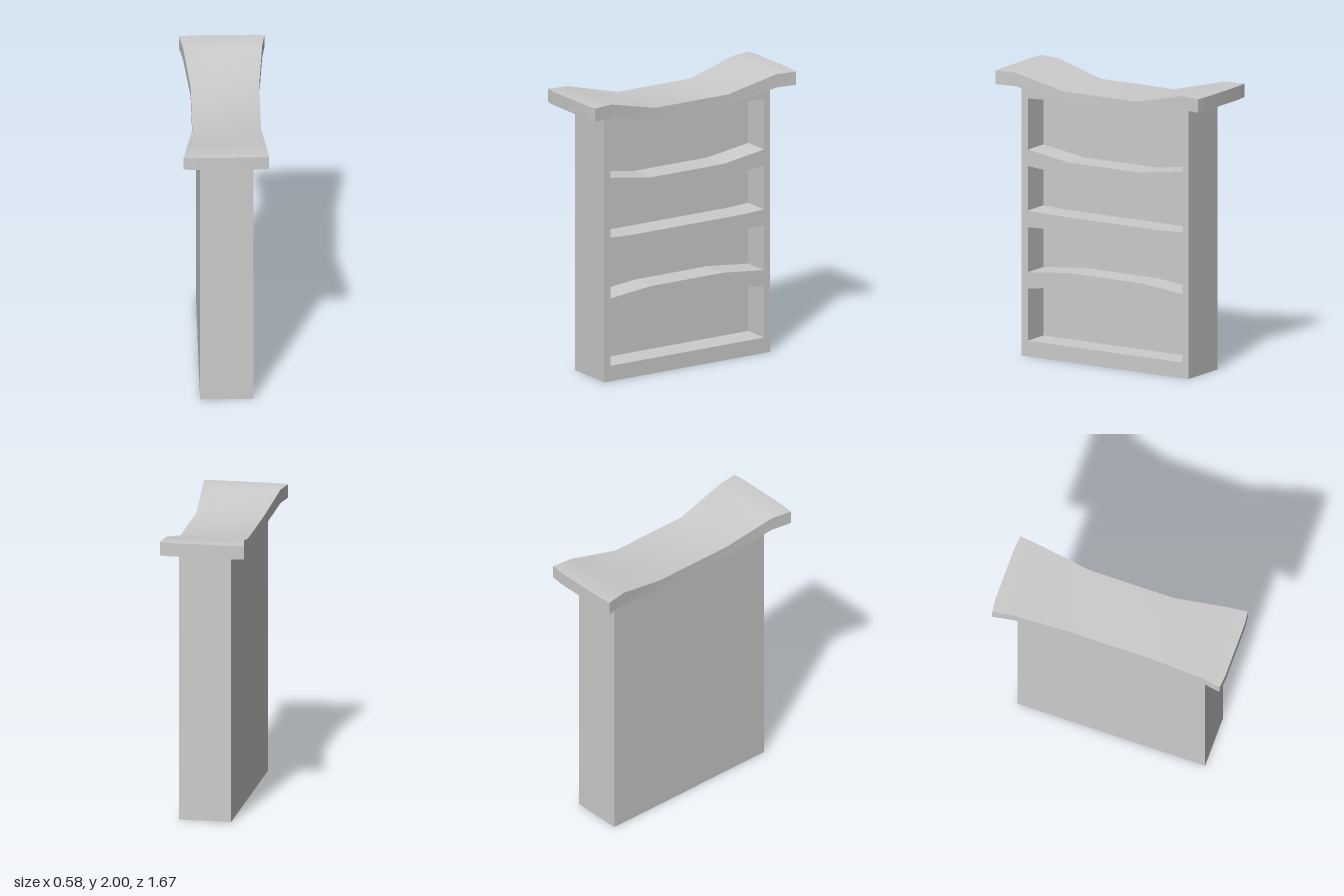
import * as THREE from 'three';

const BACK = -0.18, INNER = -0.01, FRONT = 0.185; // x planes of the cabinet

// Polygon symmetric about the centre, from the right halves of its lower and upper edges
function mirrored(PathType, lower, upper) {
  const half = [...lower, ...upper.slice().reverse()];
  const other = half.slice().reverse().map(([u, y]) => [-u, y]);
  return new PathType([...half, ...other].map(([u, y]) => new THREE.Vector2(u, y)));
}

// Extrudes a side profile across x between two planes
function acrossX(shape, x0, x1) {
  const geo = new THREE.ExtrudeGeometry(shape, { depth: x1 - x0, bevelEnabled: false });
  geo.rotateY(Math.PI / 2);
  geo.translate(x0, 0, 0);
  return geo;
}

const bodyProfile = () => mirrored(THREE.Shape, [[0.68, 0]], [[0.3, 1.83], [0.68, 1.905]]);

// Each opening: lower edge and upper edge, from the middle outwards
const openings = [
  { lower: [[0.63, 0.11]], upper: [[0.3, 0.525], [0.63, 0.475]] },
  { lower: [[0.3, 0.625], [0.63, 0.59]], upper: [[0.45, 0.912], [0.63, 0.905]] },
  { lower: [[0.45, 1.015], [0.63, 1.023]], upper: [[0.3, 1.305], [0.63, 1.335]] },
  { lower: [[0.3, 1.4], [0.63, 1.45]], upper: [[0.3, 1.824], [0.63, 1.81]] },
];

// Dipped, waisted top slab: a box reshaped station by station
function topGeometry() {
  const geo = new THREE.BoxGeometry(3, 1, 5, 3, 1, 5);
  const stations = [ // z, underside, top, width to -x, width to +x
    [0.3, 1.83, 1.91, 0.225, 0.245],
    [0.675, 1.905, 2, 0.27, 0.272],
    [0.835, 1.905, 2, 0.295, 0.29],
  ];
  const p = geo.attributes.position;
  for (let i = 0; i < p.count; i++) {
    const x = p.getX(i), y = p.getY(i), z = p.getZ(i);
    const k = Math.round(Math.abs(z) - 0.5);
    const [zs, low, high, wNeg, wPos] = stations[k];
    const edge = Math.abs(x) > 1;
    const w = (x < 0 ? wNeg : wPos) * (edge ? 1 : 0.68);
    const inset = k === 2 && edge ? 0.01 : 0; // ends bow slightly outwards
    p.setXYZ(i, Math.sign(x) * w, y > 0 ? high : low, Math.sign(z) * (zs - inset));
  }
  geo.computeVertexNormals();
  return geo;
}

export function createModel() {
  const group = new THREE.Group();
  const grey = new THREE.MeshStandardMaterial({ color: 0xcccccc });
  grey.name = 'light grey';
  const add = (name, geo) => {
    const mesh = new THREE.Mesh(geo, grey);
    mesh.name = name;
    group.add(mesh);
  };

  // Solid rear half of the cabinet
  add('backPanel', acrossX(bodyProfile(), BACK, INNER));

  // Open half with four curved compartments
  const frame = bodyProfile();
  for (const o of openings) frame.holes.push(mirrored(THREE.Path, o.lower, o.upper));
  add('shelfFrame', acrossX(frame, INNER, FRONT));

  // Overhanging top
  add('topSlab', topGeometry());
  return group;
}
